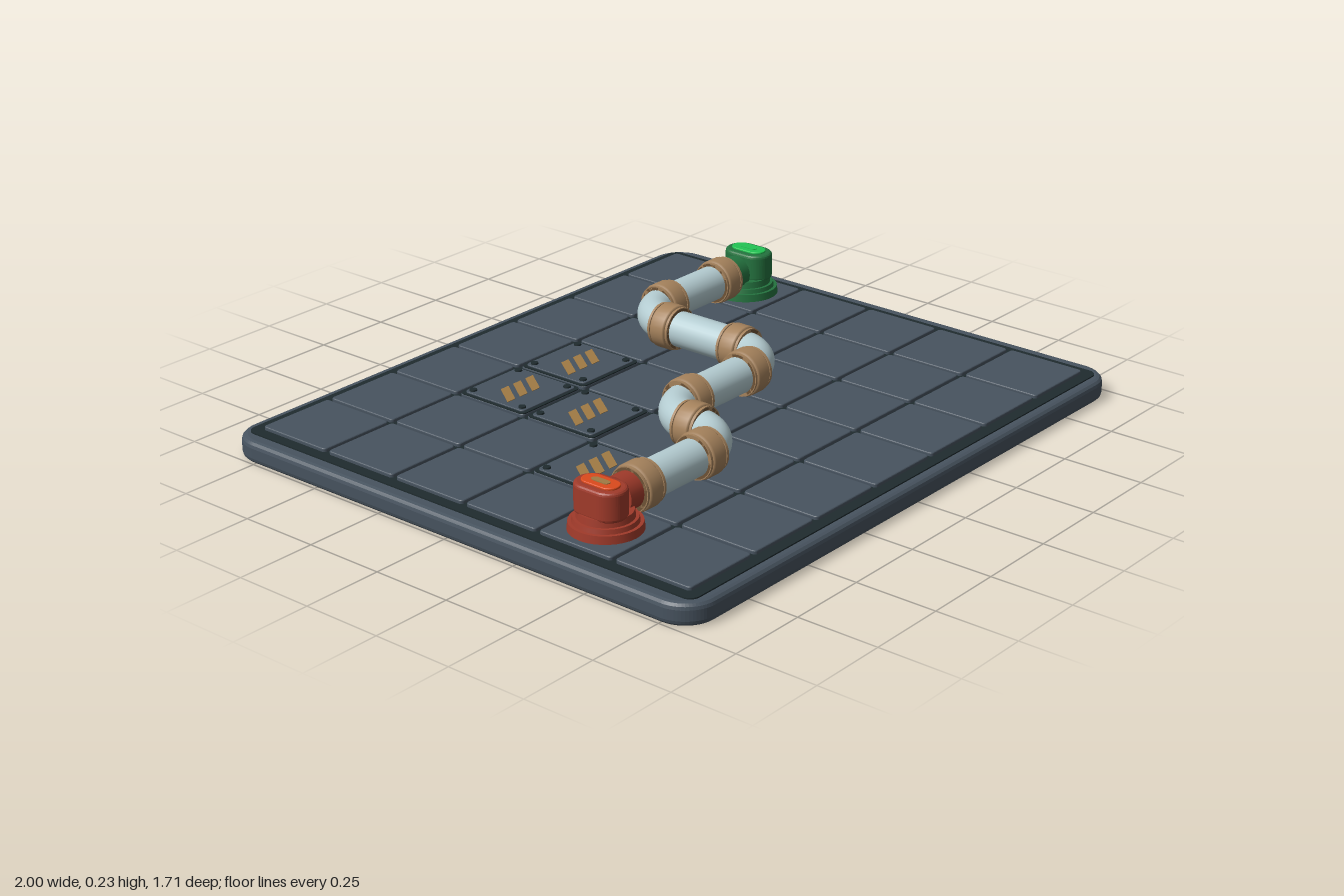
import * as THREE from 'three';

const CELL = 0.265, PIPE_Y = 0.157, PIPE_R = 0.055;

const mat = (name, color) => {
  const m = new THREE.MeshStandardMaterial({ color });
  m.name = name;
  return m;
};

// Rounded rectangle outline, centred on the origin
function roundRect(w, d, r) {
  const x = w / 2, y = d / 2, s = new THREE.Shape();
  s.moveTo(-x + r, -y);
  s.lineTo(x - r, -y);
  s.absarc(x - r, -y + r, r, -Math.PI / 2, 0);
  s.lineTo(x, y - r);
  s.absarc(x - r, y - r, r, 0, Math.PI / 2);
  s.lineTo(-x + r, y);
  s.absarc(-x + r, y - r, r, Math.PI / 2, Math.PI);
  s.lineTo(-x, -y + r);
  s.absarc(-x + r, -y + r, r, Math.PI, Math.PI * 1.5);
  return s;
}

// Horizontal slab from y0 to y1, with a bevel kept inside the given size
function slab(w, d, r, y0, y1, bevel = 0) {
  const g = new THREE.ExtrudeGeometry(roundRect(w - 2 * bevel, d - 2 * bevel, r - bevel), {
    depth: y1 - y0 - 2 * bevel, bevelEnabled: bevel > 0, bevelSize: bevel,
    bevelThickness: bevel, bevelSegments: 3, curveSegments: 8,
  });
  return g.rotateX(-Math.PI / 2).translate(0, y0 + bevel, 0);
}

export function createModel() {
  const root = new THREE.Group();
  root.name = 'pipeBoard';
  const slate = mat('slate', 0x47535f), groove = mat('dark groove', 0x1f2b2e);
  const pipe = mat('pale pipe', 0xb4ccd1), brass = mat('brass', 0xa5825c);
  const bronze = mat('dark bronze', 0x6e5236), hazard = mat('hazard ochre', 0xa07a44);
  const red = mat('red', 0xa03a2a), ember = mat('ember', 0xdc4a1c);
  const green = mat('green', 0x24733f), lime = mat('bright green', 0x22c453);

  const add = (parent, name, geo, material, x = 0, y = 0, z = 0) => {
    const m = new THREE.Mesh(geo, material);
    m.name = name;
    m.position.set(x, y, z);
    parent.add(m);
    return m;
  };

  // Tray and the dark bed showing between tiles
  add(root, 'tray', slab(2, 1.71, 0.1, 0, 0.067, 0.018), slate);
  add(root, 'bed', slab(1.91, 1.645, 0.03, 0.05, 0.071), groove);

  // Floor tiles
  const tileGeo = slab(0.252, 0.252, 0.012, 0.06, 0.082, 0.004);
  for (let c = -3; c <= 3; c++)
    for (let r = -2.5; r <= 2.5; r++) add(root, 'tile', tileGeo, slate, c * CELL, 0, r * CELL);

  // Bolted hazard plates
  const edgeGeo = slab(0.25, 0.25, 0.014, 0.08, 0.084);
  const plateGeo = slab(0.232, 0.232, 0.014, 0.08, 0.088, 0.002);
  const boltGeo = new THREE.CylinderGeometry(0.011, 0.012, 0.008, 10);
  const stripe = new THREE.Shape([[-0.045, -0.04], [-0.012, -0.04], [0.045, 0.04], [0.012, 0.04]]
    .map(([x, y]) => new THREE.Vector2(x, y)));
  const stripeGeo = new THREE.ExtrudeGeometry(stripe, { depth: 0.002, bevelEnabled: false }).rotateX(-Math.PI / 2);
  for (const [c, r] of [[-1, -1.5], [0, -1.5], [-1, -0.5], [-2, 0.5]]) {
    const g = new THREE.Group();
    g.name = 'hazardPlate';
    g.position.set(c * CELL, 0, r * CELL);
    root.add(g);
    add(g, 'plateEdge', edgeGeo, groove);
    add(g, 'plate', plateGeo, slate);
    for (const i of [-1, 0, 1]) add(g, 'stripe', stripeGeo, hazard, i * 0.053, 0.0875, 0);
    for (const sx of [-1, 1])
      for (const sz of [-1, 1]) add(g, 'bolt', boltGeo, groove, sx * 0.097, 0.089, sz * 0.097);
  }

  // Straight pipes: [column, row, runs along x]
  const straightGeo = new THREE.CylinderGeometry(PIPE_R, PIPE_R, CELL, 28, 1, true);
  for (const [c, r, alongX] of [[-2, 1.5, 1], [0, 0.5, 1], [1, -0.5, 0], [2, -1.5, 1]]) {
    const m = add(root, 'straightPipe', straightGeo, pipe, c * CELL, PIPE_Y, r * CELL);
    if (alongX) m.rotation.z = Math.PI / 2;
    else m.rotation.x = Math.PI / 2;
  }

  // Quarter bends: [centre column, centre row, turn]
  const bendGeo = new THREE.TorusGeometry(CELL / 2, PIPE_R, 28, 16, Math.PI / 2).rotateX(Math.PI / 2);
  for (const [c, r, turn] of [[-1.5, 1, 0], [-0.5, 1, Math.PI], [0.5, 0, 0], [1.5, -1, Math.PI]])
    add(root, 'bend', bendGeo, pipe, c * CELL, PIPE_Y, r * CELL).rotation.y = turn;

  // Collars on every joint
  const flangeGeo = new THREE.CylinderGeometry(0.063, 0.063, 0.076, 28);
  const bandGeo = new THREE.LatheGeometry([[0.06, -0.027], [0.066, -0.027], [0.07, -0.022], [0.07, 0.022],
    [0.066, 0.027], [0.06, 0.027]].map(([x, y]) => new THREE.Vector2(x, y)), 28);
  const lipGeo = new THREE.CylinderGeometry(0.066, 0.066, 0.008, 28);
  for (const [c, r, alongX] of [[-2.5, 1.5, 1], [-1.5, 1.5, 1], [-1, 1, 0], [-0.5, 0.5, 1], [0.5, 0.5, 1],
    [1, 0, 0], [1, -1, 0], [1.5, -1.5, 1], [2.5, -1.5, 1]]) {
    const g = new THREE.Group();
    g.name = 'collar';
    g.position.set(c * CELL, PIPE_Y, r * CELL);
    if (alongX) g.rotation.z = Math.PI / 2;
    else g.rotation.x = Math.PI / 2;
    root.add(g);
    add(g, 'flange', flangeGeo, bronze);
    add(g, 'band', bandGeo, brass);
    for (const s of [-1, 1]) add(g, 'lip', lipGeo, brass, 0, s * 0.034, 0);
  }

  // End stations: stepped foot, nozzle facing the pipe, capped lamp
  const tiers = [[0.105, 0.08, 0.105], [0.092, 0.105, 0.118], [0.08, 0.118, 0.138]];
  const capGeo = slab(0.104, 0.16, 0.052, 0.13, 0.218, 0.01);
  const lampGeo = slab(0.06, 0.12, 0.03, 0.216, 0.224, 0.003);
  const slotGeo = slab(0.022, 0.06, 0.011, 0.222, 0.226);
  const nozzleGeo = new THREE.CylinderGeometry(0.053, 0.053, 0.06, 24).rotateZ(Math.PI / 2);
  for (const [name, side, body, glow, mark] of [
    ['startStation', -1, red, ember, hazard], ['endStation', 1, green, lime, lime]]) {
    const g = new THREE.Group();
    g.name = name;
    g.position.set(side * 3 * CELL, 0, -side * 1.5 * CELL);
    root.add(g);
    for (const [r, y0, y1] of tiers)
      add(g, 'footTier', new THREE.CylinderGeometry(r - 0.003, r, y1 - y0, 32), body, 0, (y0 + y1) / 2, 0);
    add(g, 'nozzle', nozzleGeo, body, -side * 0.073, PIPE_Y + 0.002, 0);
    add(g, 'cap', capGeo, body, side * 0.018);
    add(g, 'lamp', lampGeo, glow, side * 0.018);
    add(g, 'lampSlot', slotGeo, mark, side * 0.018);
  }
  return root;
}
